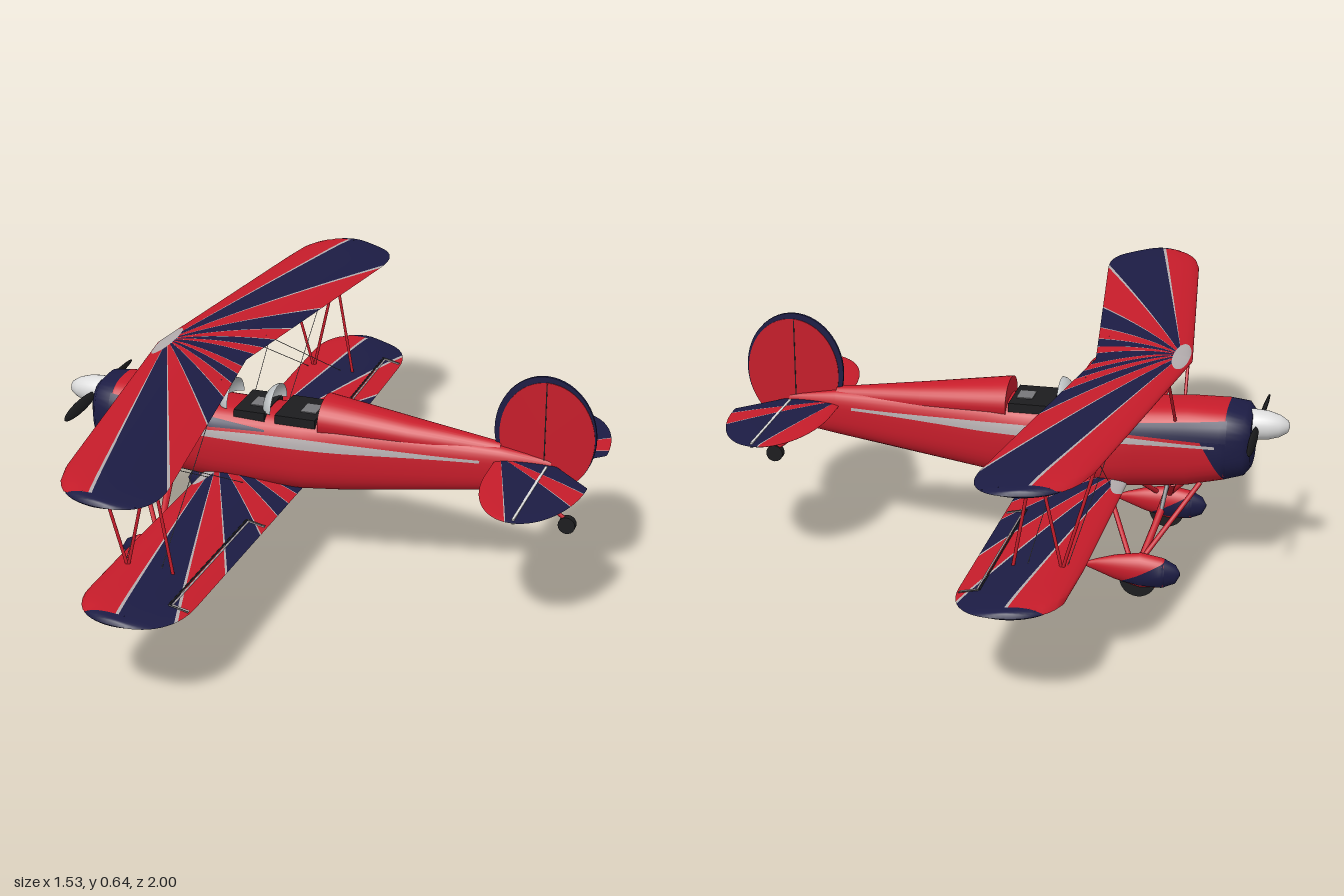
import * as THREE from 'three';

const mat = (name, color, side = THREE.FrontSide) => Object.assign(new THREE.MeshStandardMaterial({ color, side }), { name });

export function createModel() {
  const red = mat('red paint', 0xc61c2a), navy = mat('navy paint', 0x1c1c44, THREE.DoubleSide);
  const pale = mat('pale trim', 0xb4adae, THREE.DoubleSide), white = mat('spinner white', 0xdcdcdc);
  const dark = mat('dark fittings', 0x1c1c1e), steel = mat('steel', 0x77777a);
  const glass = mat('windscreen', 0xbcc0c2, THREE.DoubleSide);
  const model = new THREE.Group();
  const add = (name, geo, material, parent) => {
    const m = new THREE.Mesh(geo, material);
    m.name = name;
    parent.add(m);
    return m;
  };
  const group = (name) => {
    const g = new THREE.Group();
    g.name = name;
    model.add(g);
    return g;
  };
  const meshOf = (pos, idx) => {
    const g = new THREE.BufferGeometry();
    g.setAttribute('position', new THREE.Float32BufferAttribute(pos, 3));
    g.setIndex(idx);
    g.computeVertexNormals();
    return g;
  };
  // Round bar between two points
  const bar = (name, a, b, r, material, parent) => {
    const p = new THREE.Vector3(...a), q = new THREE.Vector3(...b);
    const m = add(name, new THREE.CylinderGeometry(r, r, p.distanceTo(q), 8), material, parent);
    m.position.copy(p).add(q).multiplyScalar(0.5);
    m.quaternion.setFromUnitVectors(new THREE.Vector3(0, 1, 0), q.sub(p).normalize());
  };

  // Section [x, bottom, top, halfWidth] interpolated at x
  const section = (st, x) => {
    let i = 0;
    while (i < st.length - 2 && x > st[i + 1][0]) i++;
    const t = (x - st[i][0]) / (st[i + 1][0] - st[i][0]);
    return st[i].map((v, k) => v + (st[i + 1][k] - v) * t);
  };
  // Skin along x through superellipse sections, closed at both ends
  const loft = (st, x0, x1, n) => {
    const N = 36, pos = [], idx = [];
    const xs = [x0, ...st.map((s) => s[0]).filter((x) => x > x0 + 1e-4 && x < x1 - 1e-4), x1];
    const pow = (v) => Math.sign(v) * Math.abs(v) ** (2 / n);
    const ring = (x) => {
      const [, b, t, w] = section(st, x);
      for (let j = 0; j < N; j++) {
        const a = (j / N) * Math.PI * 2;
        pos.push(x, (b + t) / 2 + ((t - b) / 2) * pow(Math.sin(a)), w * pow(Math.cos(a)));
      }
    };
    xs.forEach(ring);
    for (let i = 0; i < xs.length - 1; i++) for (let j = 0; j < N; j++) {
      const a = i * N + j, b = i * N + (j + 1) % N;
      idx.push(a, a + N, b, a + N, b + N, b);
    }
    [x0, x1].forEach((x, e) => {
      const base = pos.length / 3, [, b, t] = section(st, x);
      ring(x);
      pos.push(x, (b + t) / 2, 0);
      for (let j = 0; j < N; j++) {
        const p = base + j, q = base + (j + 1) % N;
        idx.push(base + N, e ? q : p, e ? p : q);
      }
    });
    return meshOf(pos, idx);
  };
  // Painted strip lying on the side of a lofted body
  const strip = (st, n, x0, x1, low, high, s, off) => {
    const pos = [], idx = [], M = 24, K = 4;
    for (let i = 0; i <= M; i++) for (let k = 0; k <= K; k++) {
      const u = i / M, x = x0 + (x1 - x0) * u, y = low(u) + (high(u) - low(u)) * k / K;
      const [, b, t, w] = section(st, x), v = Math.min(1, Math.abs((2 * y - b - t) / (t - b)));
      pos.push(x, y, s * (w * (1 - v ** n) ** (1 / n) + off));
      const a = i * (K + 1) + k, c = a + K + 1;
      if (i < M && k < K) idx.push(...(s > 0 ? [a, c, a + 1, c, c + 1, a + 1] : [a, a + 1, c, c, a + 1, c + 1]));
    }
    return meshOf(pos, idx);
  };

  // Fuselage, cowling and rear deck
  const body = [[-0.672, 0.31, 0.46, 0.075], [-0.655, 0.289, 0.478, 0.1], [-0.6, 0.272, 0.484, 0.108], [-0.5, 0.247, 0.483, 0.108],
    [-0.36, 0.232, 0.472, 0.106], [-0.3, 0.229, 0.456, 0.105], [-0.05, 0.23, 0.455, 0.095], [0.05, 0.24, 0.455, 0.088],
    [0.5, 0.3, 0.43, 0.032], [0.64, 0.32, 0.405, 0.01]];
  const deck = [[0, 0.38, 0.505, 0.08], [0.25, 0.38, 0.47, 0.052], [0.5, 0.38, 0.438, 0.018]];
  const fuselage = group('fuselage');
  add('cowling', loft(body, -0.672, -0.605, 2.8), navy, fuselage);
  add('body', loft(body, -0.605, 0.64, 2.8), red, fuselage);
  add('rearDeck', loft(deck, 0, 0.5, 2), red, fuselage);
  for (const s of [1, -1]) {
    const swell = (u) => 0.005 + 0.011 * Math.sin(Math.PI * u) ** 2;
    add('navyFlash', strip(body, 2.8, -0.61, -0.15, (u) => 0.398 + 0.012 * u, (u) => 0.46 - 0.045 * u, s, 0.002), navy, fuselage);
    add('navyPoint', strip(body, 2.8, -0.61, -0.54, (u) => 0.28 + 0.12 * u, () => 0.402, s, 0.002), navy, fuselage);
    add('paleStripe', strip(body, 2.8, -0.58, 0.45, (u) => 0.389 - swell(u), (u) => 0.387 + swell(u), s, 0.003), pale, fuselage);
    const intake = add('intake', new THREE.CylinderGeometry(0.02, 0.02, 0.006, 20), dark, fuselage);
    intake.rotation.z = Math.PI / 2;
    intake.position.set(-0.673, 0.4, s * 0.05);
  }

  // Cockpits, seats and windscreens
  [[-0.245, -0.155], [-0.125, -0.008]].forEach(([a, b], i) => {
    const c = group(i ? 'rearCockpit' : 'frontCockpit');
    add('opening', new THREE.BoxGeometry(b - a, 0.025, 0.15), dark, c).position.set((a + b) / 2, 0.4445, 0);
    add('seat', new THREE.BoxGeometry(0.045, 0.005, 0.06), steel, c).position.set(b - 0.035, 0.457, 0);
    const w = new THREE.SphereGeometry(1, 16, 8, -Math.PI / 2, Math.PI, 0, Math.PI / 2);
    add('windscreen', w.scale(0.04, 0.062, 0.068), glass, c).position.set(i ? -0.14 : -0.268, 0.453, 0);
  });

  // Spinner and propeller
  const propeller = group('propeller');
  const nose = [[0.042, 0], [0.042, 0.025], [0.039, 0.055], [0.03, 0.085], [0.016, 0.107], [0, 0.112]];
  const spinner = add('spinner', new THREE.LatheGeometry(nose.map((p) => new THREE.Vector2(...p)), 28), white, propeller);
  spinner.rotation.z = Math.PI / 2;
  spinner.position.set(-0.658, 0.425, 0);
  for (const s of [1, -1]) {
    const blade = add('blade', new THREE.SphereGeometry(1, 16, 12).scale(0.006, 0.017, 0.105), dark, propeller);
    blade.position.set(-0.685, 0.425, s * 0.128);
    blade.rotation.z = s * 0.4;
  }

  // Planform edges [leading, trailing, tip roundness] at span z, and the aerofoil height there
  const edges = (p, z) => {
    const e = z < p.tip ? 1 : Math.max(0, 1 - ((z - p.tip) / (p.span - p.tip)) ** p.round) ** (1 / p.round);
    const le = p.le(z), te = p.te(z), m = (le + te) / 2;
    return [m + (le - m) * e, m + (te - m) * e, e];
  };
  const surfaceY = (p, x, z, up) => {
    const [le, te, e] = edges(p, z);
    const c = te - le < 1e-4 ? 0 : Math.min(1, Math.max(0, (x - le) / (te - le)));
    return p.y(z) - p.tilt * (x - p.le(z)) + (up ? p.top : -p.bottom) * 2.6 * Math.sqrt(c * e) * (1 - c);
  };
  // Distances from the hub along angle a: outline, tip border, hub patch
  const reach = (p, a) => {
    let lo = 0, hi = 1.4;
    for (let i = 0; i < 36; i++) {
      const r = (lo + hi) / 2, x = p.hub[0] + r * Math.sin(a), z = p.hub[1] + r * Math.cos(a), [le, te] = edges(p, z);
      if (z <= p.span && x >= le && x <= te) lo = r; else hi = r;
    }
    return lo;
  };
  const border = (p, a) => Math.min(reach(p, a), (p.border - p.hub[1]) / Math.max(1e-6, Math.cos(a)));
  const hub = (p, a) => Math.min(reach(p, a), 1 / Math.hypot(Math.sin(a) / p.patch[0], Math.cos(a) / p.patch[1]));
  const centre = () => 0;
  // Upper and lower skins of one painted ray, between two distances
  const fan = (p, a0, a1, s, from, to, m) => {
    const n = Math.ceil((a1 - a0) / 0.8), pos = [], idx = [];
    for (const up of [true, false]) {
      const base = pos.length / 3, live = [];
      for (let i = 0; i <= n; i++) {
        const a = THREE.MathUtils.degToRad(a0 + (a1 - a0) * i / n), h = from(p, a), R = to(p, a);
        live.push(R > h + 1e-4);
        for (let j = 0; j <= m; j++) {
          const r = h + (R - h) * (1 - (1 - j / m) ** 1.3), x = p.hub[0] + r * Math.sin(a), z = p.hub[1] + r * Math.cos(a);
          pos.push(x, surfaceY(p, x, z, up), s * z);
        }
      }
      for (let i = 0; i < n; i++) if (live[i] || live[i + 1]) for (let j = 0; j < m; j++) {
        const a = base + i * (m + 1) + j, b = a + m + 1;
        idx.push(...((s > 0) === up ? [a, a + 1, b, a + 1, b + 1, b] : [a, b, a + 1, a + 1, b, b + 1]));
      }
    }
    return meshOf(pos, idx);
  };
  const panel = (name, p) => {
    const g = group(name), last = p.rays.length - 1;
    for (const s of [1, -1]) {
      for (let i = 0; i < last; i++) {
        const a = p.rays[i] + (i ? 0.25 : 0), b = p.rays[i + 1] - (i < last - 1 ? 0.25 : 0);
        add(i % 2 ? 'navyRay' : 'redRay', fan(p, a, b, s, hub, border, 20), i % 2 ? navy : red, g);
        if (i < last - 1) add('pinstripe', fan(p, b, b + 0.5, s, hub, border, 20), pale, g);
      }
      add('tipBorder', fan(p, -20, 40, s, border, reach, 5), navy, g);
      add('hubPatch', fan(p, -90, 90, s, centre, hub, 5), pale, g);
    }
    return g;
  };
  const wing = { tip: 0.82, span: 1, round: 2.4, border: 0.968, tilt: 0.05, top: 0.022, bottom: 0.008 };
  panel('upperWing', { ...wing, le: (z) => -0.5 + 0.13 * z, te: (z) => -0.235 + 0.145 * z, y: () => 0.59,
    hub: [-0.47, 0], patch: [0.022, 0.1], rays: [-90, 12, 23, 34, 46, 57, 68, 79, 90] });
  const lower = { ...wing, le: () => -0.34, te: () => -0.055, y: (z) => 0.247 + 0.024 * z,
    hub: [-0.325, 0], patch: [0.03, 0.18], rays: [-90, 7, 15.5, 23.5, 36, 48, 60, 72, 90] };
  const lowerWing = panel('lowerWing', lower);
  const tailplane = panel('tailplane', { le: () => 0.488, te: (z) => Math.min(0.765, 0.65 + 1.05 * z), tip: 0.11, span: 0.375, round: 2,
    border: 0.375, y: () => 0.39, tilt: 0, top: 0.007, bottom: 0.007, hub: [0.5, 0.005], patch: [0.004, 0.004], rays: [-90, 17, 48, 62, 90] });

  // Fin and rudder with a navy border
  const fin = group('fin');
  const disc = (rx, ry, t) => new THREE.CylinderGeometry(1, 1, t, 56).rotateX(Math.PI / 2).scale(rx, ry, 1);
  add('border', disc(0.14, 0.165, 0.008), navy, fin).position.set(0.62, 0.48, 0);
  add('panel', disc(0.131, 0.156, 0.012), red, fin).position.set(0.625, 0.473, 0);
  add('rudderHinge', new THREE.BoxGeometry(0.003, 0.29, 0.014), dark, fin).position.set(0.62, 0.48, 0);

  for (const s of [1, -1]) {
    // Aileron outlines and elevator hinge
    const line = (x, z, u, w, material) => bar('aileronLine', [x, surfaceY(lower, x, z, true), s * z],
      [u, surfaceY(lower, u, w, true), s * w], 0.0025, material, lowerWing);
    [[-0.114, 0.32, 0.86, dark], [-0.107, 0.327, 0.853, pale]].forEach(([x, a, b, material]) => {
      line(x, a, x, b, material);
      for (const z of [a, b]) line(x, z, -0.062, z, material);
    });
    add('elevatorHinge', new THREE.BoxGeometry(0.007, 0.015, 0.34), white, tailplane).position.set(0.632, 0.39, s * 0.195);

    // Wing struts and bracing wires
    const rig = group(s > 0 ? 'leftRigging' : 'rightRigging'), z = s * 0.71;
    [[-0.38, -0.29], [-0.22, -0.29], [-0.22, -0.165]].forEach(([t, b]) => bar('wingStrut', [t, 0.586, z], [b, 0.27, z], 0.0045, red, rig));
    [[-0.465, -0.47], [-0.465, -0.32], [-0.27, -0.32]].forEach(([t, b]) =>
      bar('centreStrut', [t, 0.587, s * 0.18], [b, 0.45, s * 0.085], 0.0045, red, rig));
    [[-0.37, -0.3], [-0.24, -0.2]].forEach(([t, b]) => {
      bar('landingWire', [t, 0.585, s * 0.17], [b, 0.27, z], 0.001, steel, rig);
      bar('flyingWire', [b, 0.25, s * 0.1], [t, 0.585, z], 0.001, steel, rig);
    });

    // Main wheel, fairing and legs
    const gear = group(s > 0 ? 'leftGear' : 'rightGear'), zw = s * 0.24;
    const pod = [[-0.517, 0.066, 0.074, 0.004], [-0.505, 0.043, 0.095, 0.016], [-0.47, 0.028, 0.112, 0.028], [-0.41, 0.024, 0.122, 0.032],
      [-0.34, 0.042, 0.11, 0.024], [-0.29, 0.06, 0.095, 0.012], [-0.25, 0.074, 0.08, 0.002]];
    add('fairingNose', loft(pod, -0.517, -0.475, 2), navy, gear).position.z = zw;
    add('fairing', loft(pod, -0.475, -0.25, 2), red, gear).position.z = zw;
    for (const k of [1, -1])
      add('fairingFlash', strip(pod, 2, -0.478, -0.365, (u) => 0.032 + 0.01 * u, (u) => 0.107 - 0.06 * u, k, 0.002), navy, gear).position.z = zw;
    const wheel = add('wheel', new THREE.CylinderGeometry(0.05, 0.05, 0.026, 28), dark, gear);
    wheel.rotation.x = Math.PI / 2;
    wheel.position.set(-0.405, 0.05, zw);
    const foot = [-0.41, 0.1, s * 0.235], knee = [-0.44, 0.19, s * 0.1];
    bar('frontLeg', foot, [-0.54, 0.27, s * 0.07], 0.007, red, gear);
    bar('rearLeg', [-0.38, 0.1, s * 0.235], [-0.28, 0.245, s * 0.06], 0.007, red, gear);
    bar('crossLeg', foot, [-0.45, 0.25, s * 0.01], 0.006, red, gear);
    bar('shockLeg', foot, knee, 0.01, red, gear);
    bar('shockRod', knee, [-0.45, 0.27, s * 0.03], 0.006, steel, gear);
  }

  // Tail wheel
  const tailGear = group('tailGear');
  bar('leg', [0.57, 0.325, 0], [0.69, 0.232, 0], 0.006, red, tailGear);
  const tailWheel = add('wheel', new THREE.CylinderGeometry(0.024, 0.024, 0.02, 20), dark, tailGear);
  tailWheel.rotation.x = Math.PI / 2;
  tailWheel.position.set(0.69, 0.222, 0);
  return model;
}
